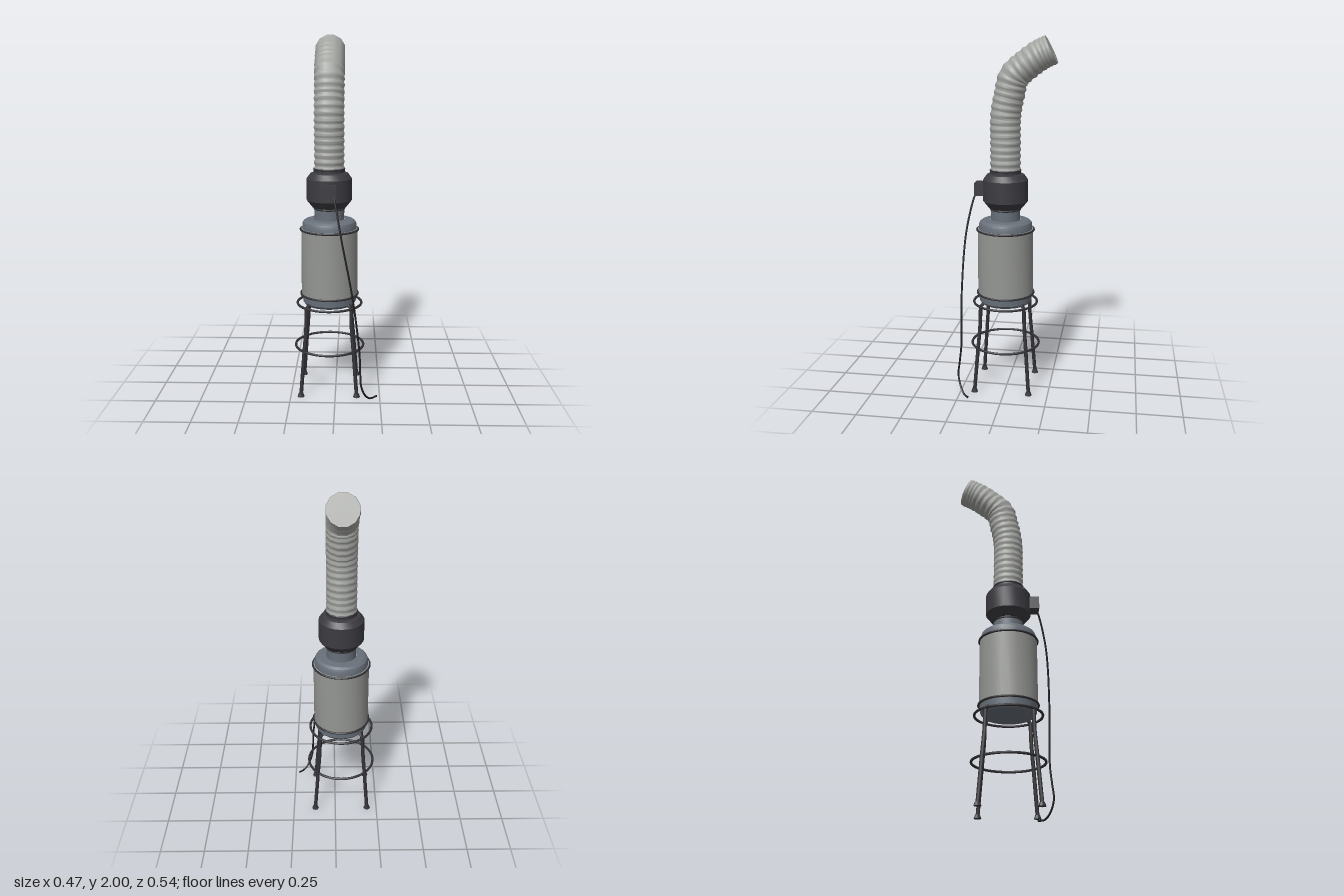
import * as THREE from 'three';
import { toCreasedNormals } from 'three/addons/utils/BufferGeometryUtils.js';

const V = (x, y, z) => new THREE.Vector3(x, y, z);
const CX = -0.036, CZ = 0.014; // machine axis

function material(name, color) {
  const m = new THREE.MeshStandardMaterial({ color });
  m.name = name;
  return m;
}

export function createModel() {
  const group = new THREE.Group();
  const ductGrey = material('duct grey', 0xa3a5a1);
  const drumGrey = material('drum grey', 0x949693);
  const steel = material('blue grey steel', 0x68707a);
  const housing = material('dark housing', 0x3c3b41);
  const iron = material('dark iron', 0x333237);
  const rubber = material('black rubber', 0x1d1d1f);

  function add(name, geo, mat, x = 0, y = 0, z = 0) {
    const mesh = new THREE.Mesh(geo, mat);
    mesh.name = name;
    mesh.position.set(x, y, z);
    group.add(mesh);
    return mesh;
  }
  // Turned part from [radius, height] pairs, bottom to top
  function turned(name, profile, mat, sides = 24) {
    const geo = new THREE.LatheGeometry(profile.map(p => new THREE.Vector2(p[0], p[1])), sides);
    return add(name, toCreasedNormals(geo, 0.5), mat, CX, 0, CZ);
  }
  function hoop(name, radius, y, tube, mat = iron) {
    const geo = new THREE.TorusGeometry(radius, tube, 8, 40).rotateX(Math.PI / 2);
    return add(name, geo, mat, CX, y, CZ);
  }

  // Filter drum with steel end caps and clamping hoops
  turned('bottomCap', [[0, 0.505], [0.138, 0.505], [0.15, 0.52], [0.152, 0.565]], steel);
  turned('drum', [[0.15, 0.56], [0.158, 0.56], [0.158, 0.94], [0.15, 0.94]], drumGrey);
  turned('topCap', [[0.152, 0.935], [0.152, 0.965], [0.146, 0.98], [0.132, 0.99], [0.085, 0.993]], steel);
  hoop('lowerDrumHoop', 0.161, 0.563, 0.006);
  hoop('upperDrumHoop', 0.161, 0.935, 0.006);

  // Neck and fan housing
  turned('neck', [[0.083, 0.985], [0.083, 1.07]], steel);
  turned('fanHousing', [[0.08, 1.058], [0.094, 1.06], [0.126, 1.1], [0.126, 1.22],
    [0.104, 1.25], [0.086, 1.255], [0.086, 1.275], [0.075, 1.275]], housing);
  hoop('neckClamp', 0.083, 1.052, 0.005);
  hoop('ductClamp', 0.084, 1.273, 0.005);
  add('switchBox', new THREE.BoxGeometry(0.083, 0.072, 0.08), housing, -0.037, 1.165, 0.146);

  // Corrugated duct: twelve-sided rings swept along a bent path
  const path = new THREE.CatmullRomCurve3([
    [1.265, 0.014], [1.42, 0.014], [1.58, 0.012], [1.69, -0.008], [1.785, -0.034],
    [1.845, -0.098], [1.897, -0.17], [1.929, -0.235],
  ].map(([y, z]) => V(CX, y, z)), false, 'centripetal');
  const length = path.getLength(), sides = 12, rows = 110;
  const pos = [], index = [];
  for (let i = 0; i <= rows; i++) {
    const t = i / rows, p = path.getPointAt(t), tan = path.getTangentAt(t);
    const side = V(1, 0, 0), nor = tan.clone().cross(side);
    const d = t * length, collar = d > length - 0.075;
    const r = 0.084 + (collar ? 0.0025 : 0.003) * Math.sin(d * Math.PI * 2 / (collar ? 0.021 : 0.038));
    for (let j = 0; j < sides; j++) {
      const a = (j + 0.5) / sides * Math.PI * 2;
      const q = p.clone().addScaledVector(side, r * Math.cos(a)).addScaledVector(nor, r * Math.sin(a));
      pos.push(q.x, q.y, q.z);
    }
  }
  for (let i = 0; i < rows; i++) {
    for (let j = 0; j < sides; j++) {
      const a = i * sides + j, b = i * sides + (j + 1) % sides;
      index.push(a, b, a + sides, b, b + sides, a + sides);
    }
  }
  // Closed outlet
  const last = rows * sides;
  for (let j = 1; j < sides - 1; j++) index.push(last, last + j, last + j + 1);
  const duct = new THREE.BufferGeometry();
  duct.setAttribute('position', new THREE.Float32BufferAttribute(pos, 3));
  duct.setIndex(index);
  add('duct', toCreasedNormals(duct, 0.9), ductGrey);

  // Stand: two hoops and four splayed legs with feet
  hoop('standTopHoop', 0.182, 0.507, 0.007);
  hoop('standFootRail', 0.194, 0.256, 0.007);
  const legProfile = [[0.221, 0.01], [0.195, 0.255], [0.179, 0.4], [0.175, 0.495], [0.172, 0.515], [0.155, 0.522]];
  for (let k = 0; k < 4; k++) {
    const a = Math.PI / 4 + k * Math.PI / 2, c = Math.cos(a), s = Math.sin(a);
    const curve = new THREE.CatmullRomCurve3(legProfile.map(([r, y]) => V(CX + r * c, y, CZ + r * s)));
    add('leg', new THREE.TubeGeometry(curve, 20, 0.0105, 8), iron);
    add('foot', toCreasedNormals(new THREE.CylinderGeometry(0.013, 0.02, 0.02, 8), 0.5), iron,
      CX + 0.221 * c, 0.01, CZ + 0.221 * s);
  }

  // Power cable hanging from the switch box to the floor
  const cable = new THREE.CatmullRomCurve3([
    V(-0.01, 1.15, 0.175), V(0.0, 1.11, 0.19), V(0.034, 0.92, 0.228), V(0.095, 0.6, 0.244),
    V(0.134, 0.29, 0.242), V(0.139, 0.18, 0.253), V(0.143, 0.11, 0.26), V(0.165, 0.045, 0.242),
    V(0.195, 0.012, 0.215), V(0.232, 0.012, 0.181),
  ]);
  add('cable', new THREE.TubeGeometry(cable, 70, 0.0055, 7), rubber);

  return group;
}
